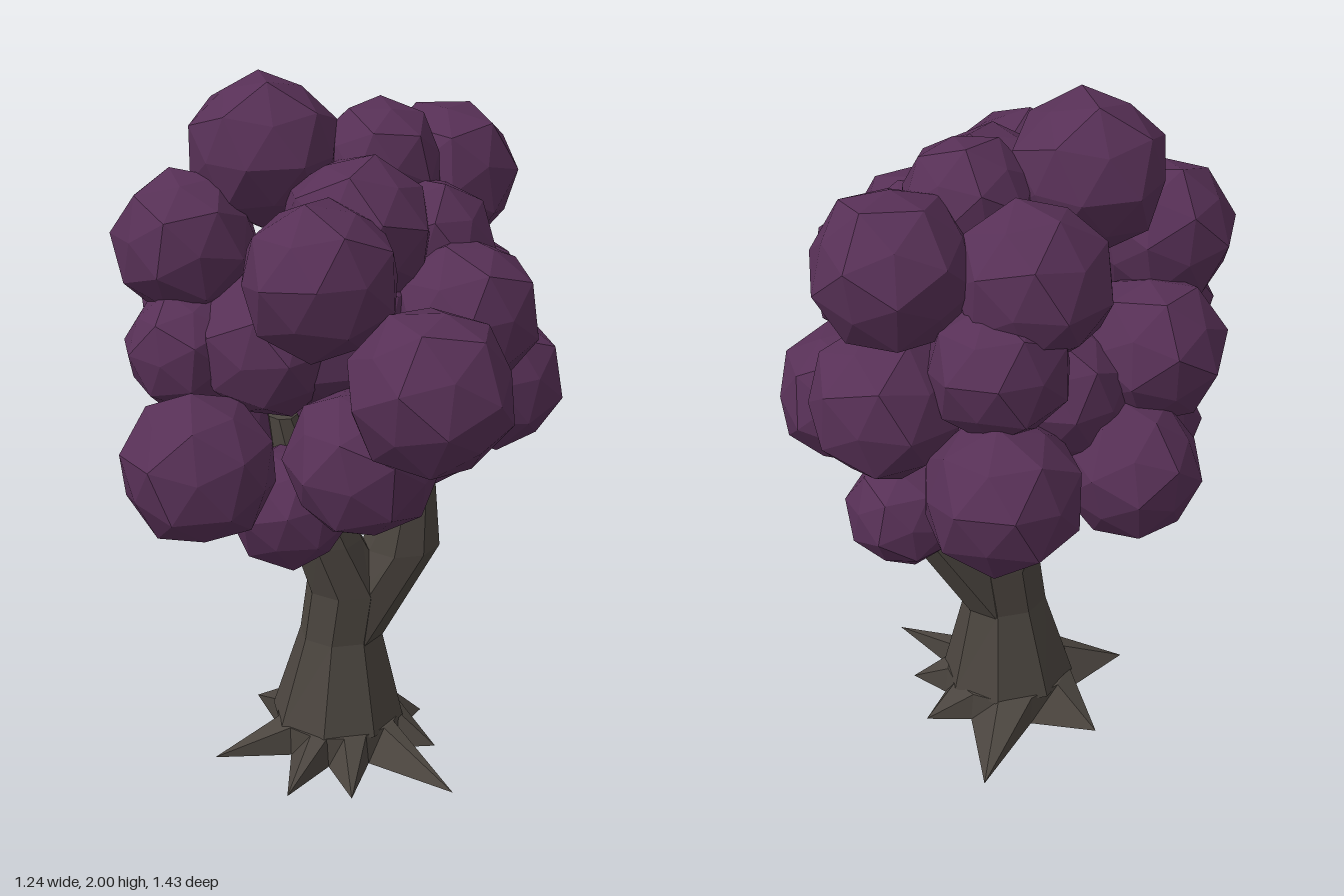
import * as THREE from 'three';
import { ConvexGeometry } from 'three/addons/geometries/ConvexGeometry.js';

const barkMaterial = new THREE.MeshStandardMaterial({ color: 0x4b453f, flatShading: true });
const leafMaterial = new THREE.MeshStandardMaterial({ color: 0x573056, flatShading: true });

// Skin a stack of equal-length rings (bottom to top) and close both ends.
function loft(rings, bottom, top) {
  const pos = [];
  const tri = (...pts) => pts.forEach((p) => pos.push(p.x, p.y, p.z));
  const n = rings[0].length;
  const first = rings[0], last = rings[rings.length - 1];
  for (let i = 0; i < n; i++) {
    const k = (i + 1) % n;
    for (let j = 0; j < rings.length - 1; j++) {
      const lo = rings[j], up = rings[j + 1];
      tri(lo[k], lo[i], up[i]);
      tri(lo[k], up[i], up[k]);
    }
    tri(bottom, first[i], first[k]);
    tri(top, last[k], last[i]);
  }
  const geo = new THREE.BufferGeometry();
  geo.setAttribute('position', new THREE.Float32BufferAttribute(pos, 3));
  geo.computeVertexNormals();
  return geo;
}

// Limb through octagonal sections [x, y, rx, rz].
function limb(name, sections) {
  const rings = sections.map(([x, y, rx, rz]) => Array.from({ length: 8 }, (_, i) => {
    const a = ((i + 0.5) / 8) * Math.PI * 2;
    return new THREE.Vector3(x + Math.cos(a) * rx * 1.06, y, Math.sin(a) * rz * 1.06);
  }));
  const [bx, by] = sections[0], [tx, ty] = sections[sections.length - 1];
  const geo = loft(rings, new THREE.Vector3(bx, by, 0), new THREE.Vector3(tx, ty, 0));
  const mesh = new THREE.Mesh(geo, barkMaterial);
  mesh.name = name;
  return mesh;
}

// Star of pointed roots flaring out of the trunk foot.
function createRoots() {
  // Root tips: angle from +x towards +z in degrees, reach
  const tips = [[-17, 0.28], [24, 0.29], [54, 0.44], [95, 0.33],
    [126, 0.35], [172, 0.385], [231, 0.33], [293, 0.42]];
  const star = [], collar = [];
  const add = (degrees, reach, y) => {
    const a = THREE.MathUtils.degToRad(degrees);
    star.push(new THREE.Vector3(Math.cos(a) * reach, y, Math.sin(a) * reach));
    collar.push(new THREE.Vector3(Math.cos(a) * 0.185 - 0.005, 0.14, Math.sin(a) * 0.18));
  };
  tips.forEach(([angle, reach], i) => {
    const next = i < tips.length - 1 ? tips[i + 1][0] : tips[0][0] + 360;
    add(angle, reach, 0.04);
    add((angle + next) / 2, 0.19, 0.05);
  });
  const mesh = new THREE.Mesh(
    loft([star, collar], new THREE.Vector3(-0.03, 0, 0), new THREE.Vector3(0, 0.15, 0)), barkMaterial);
  mesh.name = 'roots';
  return mesh;
}

// Faceted ball: a dodecahedron whose pentagons are raised at the middle.
function createLeafGeometry() {
  const p = new THREE.IcosahedronGeometry(1, 0).attributes.position;
  const points = [];
  for (let f = 0; f < p.count; f += 3) {
    const corners = [0, 1, 2].map((e) => new THREE.Vector3().fromBufferAttribute(p, f + e));
    points.push(corners[0].clone().add(corners[1]).add(corners[2]).normalize());
    corners.forEach((c) => {
      c.multiplyScalar(0.93);
      if (!points.some((q) => q.distanceTo(c) < 0.01)) points.push(c);
    });
  }
  return new ConvexGeometry(points);
}

export function createModel() {
  const model = new THREE.Group();
  model.name = 'tree';

  // Trunk forking into two branches
  const trunk = new THREE.Group();
  trunk.name = 'trunk';
  trunk.add(
    createRoots(),
    limb('leftLeaningTrunk', [
      [-0.005, 0.13, 0.185, 0.175], [0.005, 0.4, 0.115, 0.1], [0.025, 0.55, 0.115, 0.1],
      [-0.04, 0.71, 0.1, 0.095], [-0.095, 0.86, 0.08, 0.08], [-0.16, 1.1, 0.04, 0.05],
    ]),
    limb('rightBranch', [
      [0.01, 0.39, 0.11, 0.098], [0.18, 0.67, 0.105, 0.1],
      [0.213, 0.95, 0.05, 0.075], [0.22, 1.15, 0.04, 0.06],
    ]),
  );
  model.add(trunk);

  // Leaf clumps: x, y, z, radius
  const clumps = [
    [-0.18, 1.8, -0.12, 0.2], [0.13, 1.75, -0.12, 0.17], [0.02, 1.63, 0.11, 0.2],
    [-0.11, 1.58, 0.31, 0.2], [0.35, 1.67, -0.27, 0.2], [-0.4, 1.58, -0.06, 0.19],
    [0.02, 1.63, -0.34, 0.2], [0.29, 1.42, 0.19, 0.2], [0.13, 1.34, 0.5, 0.21],
    [-0.32, 1.35, -0.26, 0.19], [-0.42, 1.32, 0.04, 0.16], [0.38, 1.31, -0.28, 0.2],
    [0.12, 1.44, -0.4, 0.18], [-0.42, 1.07, 0.25, 0.2], [0.0, 1.08, 0.31, 0.2],
    [0.43, 1.16, 0.02, 0.19], [0.14, 1.14, -0.51, 0.2], [-0.22, 1.1, -0.42, 0.18],
    [-0.34, 1.02, -0.08, 0.18], [0.34, 0.95, -0.25, 0.15], [-0.16, 0.87, 0.11, 0.17],
    [-0.21, 1.34, 0.1, 0.19], [0.2, 1.12, 0.14, 0.19], [0.05, 1.1, -0.2, 0.2],
    [-0.06, 1.28, -0.3, 0.18], [0.23, 1.56, 0.02, 0.18], [0.0, 1.38, 0.0, 0.28],
  ];
  const leafGeometry = createLeafGeometry();
  const foliage = new THREE.Group();
  foliage.name = 'foliage';
  clumps.forEach(([x, y, z, r], i) => {
    const clump = new THREE.Mesh(leafGeometry, leafMaterial);
    clump.name = `leafClump${i + 1}`;
    clump.position.set(x, y, z);
    clump.rotation.set(i * 1.3, i * 2.1, i * 0.7);
    clump.scale.setScalar(r * 1.05);
    foliage.add(clump);
  });
  model.add(foliage);

  return model;
}
